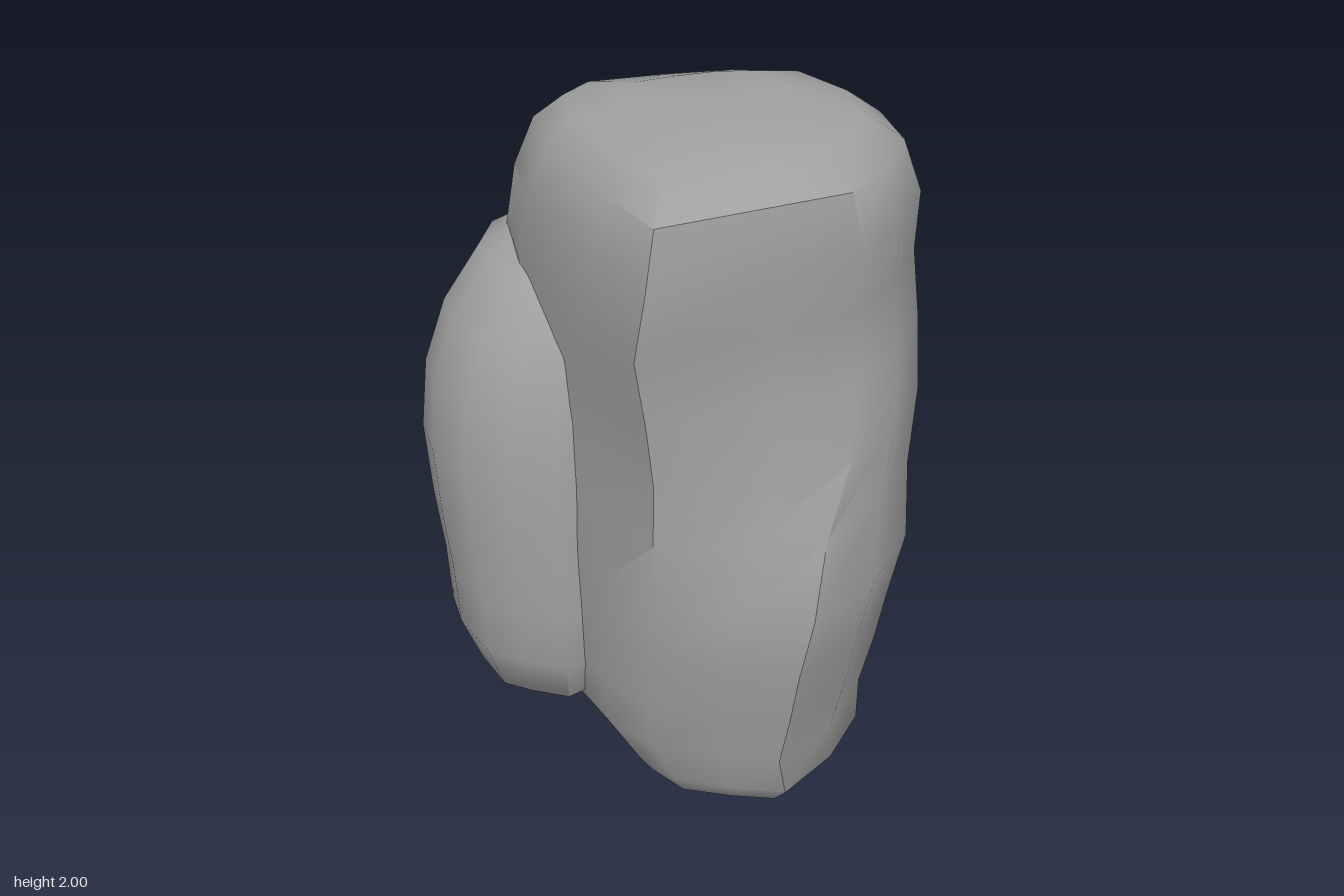
import * as THREE from 'three';
import { toCreasedNormals } from 'three/addons/utils/BufferGeometryUtils.js';

// Cross-sections as [x, z], running from the front round by +x.
const pillarTop = [
  [0.2, 0.55], [0.44, 0.25], [0.56, 0.1], [0.58, -0.1], [0.56, -0.3], [0.43, -0.46], [0.21, -0.55],
  [0, -0.45], [-0.2, -0.29], [-0.4, -0.1], [-0.42, 0.05], [-0.3, 0.2], [-0.16, 0.31], [0, 0.43],
];
const pillarBase = [
  [0.2, 0.47], [0.4, 0.42], [0.57, 0.36], [0.64, 0.13], [0.64, -0.1], [0.46, -0.4], [0.21, -0.51],
  [0, -0.42], [-0.2, -0.32], [-0.4, -0.15], [-0.43, 0.05], [-0.3, 0.22], [-0.12, 0.34], [0.03, 0.43],
];
const boulderSection = [
  [-0.12, 0.41], [0, 0.2], [0.06, 0], [0.06, -0.25], [0.02, -0.43], [-0.17, -0.47], [-0.37, -0.39],
  [-0.54, -0.27], [-0.63, -0.1], [-0.68, 0.08], [-0.63, 0.27], [-0.54, 0.36], [-0.38, 0.45], [-0.26, 0.44],
];

// Levels as [y, xMin, xMax, zMin, zMax].
const pillarLevels = [
  [0, -0.1, 0.38, -0.22, 0.23], [0.04, -0.2, 0.52, -0.41, 0.34], [0.1, -0.29, 0.57, -0.46, 0.37],
  [0.24, -0.43, 0.57, -0.49, 0.41], [0.42, -0.45, 0.61, -0.49, 0.44], [0.6, -0.45, 0.64, -0.5, 0.46],
  [0.8, -0.45, 0.675, -0.53, 0.48], [1, -0.45, 0.65, -0.53, 0.49], [1.2, -0.45, 0.65, -0.52, 0.51],
  [1.38, -0.45, 0.62, -0.54, 0.53], [1.57, -0.46, 0.59, -0.55, 0.55], [1.76, -0.41, 0.61, -0.49, 0.55],
  [1.91, -0.34, 0.57, -0.42, 0.51], [1.97, -0.27, 0.47, -0.36, 0.4], [2, -0.12, 0.26, -0.24, 0.26],
];
const boulderLevels = [
  [0.19, -0.44, -0.08, -0.24, 0.25], [0.26, -0.56, 0, -0.36, 0.39], [0.41, -0.62, 0.05, -0.42, 0.44],
  [0.6, -0.63, 0.06, -0.44, 0.45], [0.78, -0.66, 0.06, -0.45, 0.45], [1, -0.68, 0.06, -0.46, 0.45],
  [1.2, -0.67, 0.05, -0.47, 0.42], [1.38, -0.62, 0.03, -0.45, 0.36], [1.53, -0.54, 0, -0.36, 0.24],
  [1.59, -0.44, -0.05, -0.24, 0.12],
];

// Stretches a section to the bounds of a level.
function fitSection(section, [y, xMin, xMax, zMin, zMax]) {
  const xs = section.map((p) => p[0]);
  const zs = section.map((p) => p[1]);
  const { mapLinear } = THREE.MathUtils;
  return section.map(([x, z]) => [
    mapLinear(x, Math.min(...xs), Math.max(...xs), xMin, xMax),
    y,
    mapLinear(z, Math.min(...zs), Math.max(...zs), zMin, zMax),
  ]);
}

// Skins a stack of rings and closes both ends.
function loft(rings, crease) {
  const n = rings[0].length;
  const last = (rings.length - 1) * n;
  const points = rings.flat();
  const middle = (ring) => [0, 1, 2].map((k) => ring.reduce((s, p) => s + p[k], 0) / n);
  const bottom = points.push(middle(rings[0])) - 1;
  const top = points.push(middle(rings[rings.length - 1])) - 1;
  const index = [];
  for (let j = 0; j < n; j++) {
    const k = (j + 1) % n;
    for (let a = 0; a < last; a += n) {
      index.push(a + j, a + k, a + n + k, a + j, a + n + k, a + n + j);
    }
    index.push(bottom, k, j, top, last + j, last + k);
  }
  const geometry = new THREE.BufferGeometry();
  geometry.setAttribute('position', new THREE.Float32BufferAttribute(points.flat(), 3));
  geometry.setIndex(index);
  return toCreasedNormals(geometry, crease);
}

export function createModel() {
  const group = new THREE.Group();
  group.name = 'rock';
  const stone = new THREE.MeshStandardMaterial({ color: 0xa0a0a0 });
  stone.name = 'grey stone';

  const add = (name, geometry) => {
    const mesh = new THREE.Mesh(geometry, stone);
    mesh.name = name;
    group.add(mesh);
  };

  // Tall pillar: broad at the base, with a sharp front ridge higher up
  add('pillar', loft(pillarLevels.map((level) => {
    const t = THREE.MathUtils.smoothstep(level[0], 0.7, 1.5);
    const section = pillarBase.map(([x, z], i) => [
      THREE.MathUtils.lerp(x, pillarTop[i][0], t),
      THREE.MathUtils.lerp(z, pillarTop[i][1], t),
    ]);
    return fitSection(section, level);
  }), 0.85));

  // Lower boulder fused to the side
  add('sideBoulder', loft(boulderLevels.map((level) => fitSection(boulderSection, level)), 0.95));

  return group;
}
